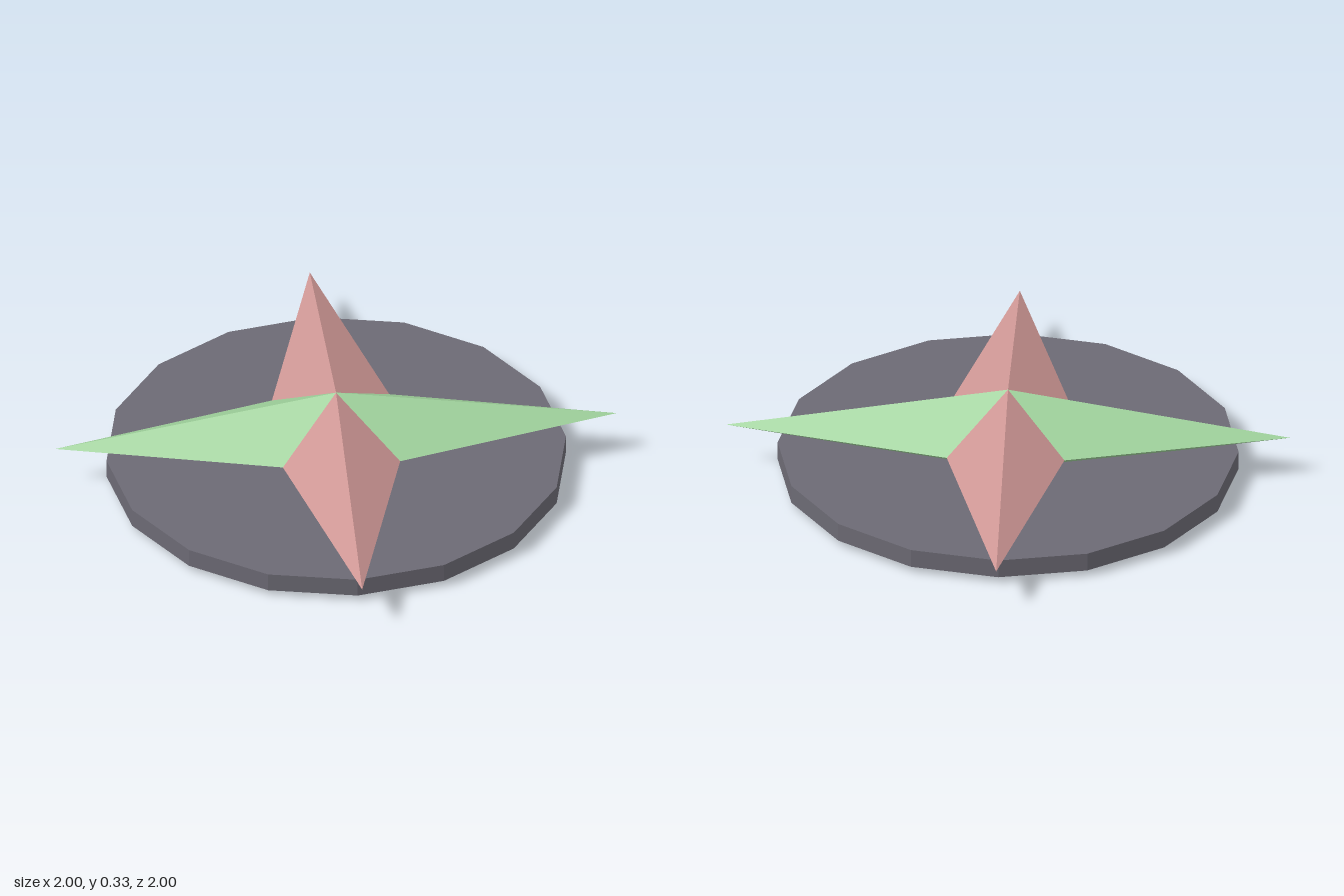
import * as THREE from 'three';

const material = (color) => new THREE.MeshStandardMaterial({ color, flatShading: true });

// Spike with an upper and a lower ridge, between two waist corners
function armGeometry(tip, before, after, top, bottom) {
  const faces = [
    top, after, tip,
    top, tip, before,
    bottom, tip, after,
    bottom, before, tip,
  ];
  const geometry = new THREE.BufferGeometry().setFromPoints(faces);
  geometry.computeVertexNormals();
  return geometry;
}

export function createModel() {
  const group = new THREE.Group();

  // Sixteen-sided base plate, corners on the axes
  const disc = new THREE.Mesh(new THREE.CylinderGeometry(0.817, 0.817, 0.068, 16), material(0x6c6a74));
  disc.name = 'baseDisc';
  disc.position.set(0, 0.059, 0.006);
  group.add(disc);

  // Four-pointed star that pokes through the plate
  const star = new THREE.Group();
  star.name = 'star';
  const green = material(0xa1d49d);
  const red = material(0xcc9593);
  const top = new THREE.Vector3(0, 0.33, 0);
  const bottom = new THREE.Vector3(0, 0.004, 0);
  const corner = (angle) => new THREE.Vector3(Math.cos(angle) * 0.295, 0.165, Math.sin(angle) * 0.295);
  const arms = [
    ['leftArm', new THREE.Vector3(1, 0.17, -0.01), green],
    ['frontArm', new THREE.Vector3(0, 0.17, 0.995), red],
    ['rightArm', new THREE.Vector3(-1, 0.155, 0.005), green],
    ['backArm', new THREE.Vector3(0, 0.155, -1), red],
  ];
  arms.forEach(([name, tip, mat], i) => {
    const angle = (i * Math.PI) / 2;
    const geometry = armGeometry(tip, corner(angle - Math.PI / 4), corner(angle + Math.PI / 4), top, bottom);
    const arm = new THREE.Mesh(geometry, mat);
    arm.name = name;
    star.add(arm);
  });
  group.add(star);

  return group;
}
